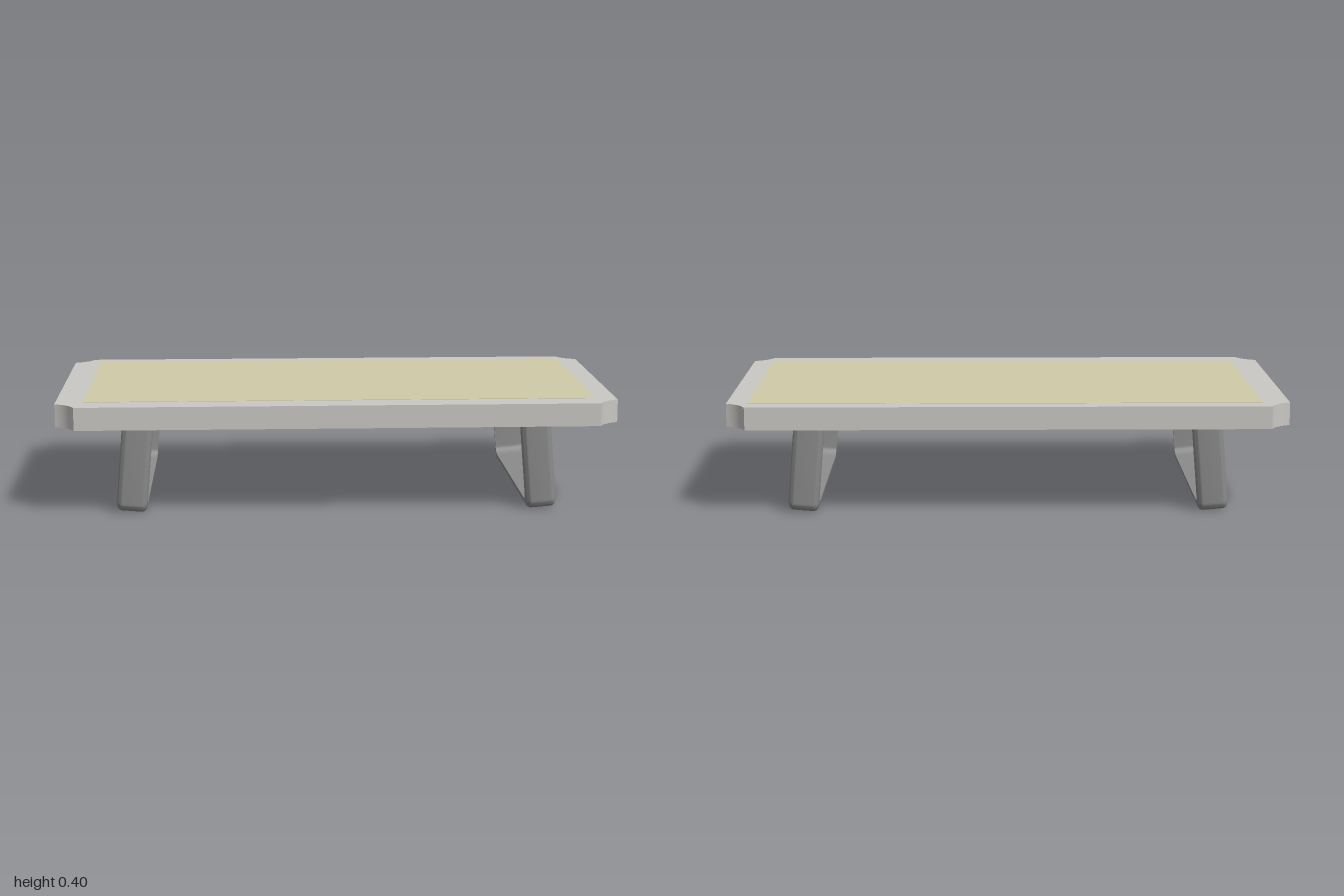
import * as THREE from 'three';
import { toCreasedNormals } from 'three/addons/utils/BufferGeometryUtils.js';

const frameGrey = new THREE.MeshStandardMaterial({ name: 'frameGrey', color: 0xcac8c4 });
const inlayCream = new THREE.MeshStandardMaterial({ name: 'inlayCream', color: 0xd0cba8 });
const legSteel = new THREE.MeshStandardMaterial({ name: 'legSteel', color: 0x8c8c8c });

const BOTTOM = 0.32, TOP = 0.402;

function add(parent, name, geometry, material) {
  const mesh = new THREE.Mesh(geometry, material);
  mesh.name = name;
  parent.add(mesh);
  return mesh;
}

// Slab outline with a shallow concave scoop at each corner
function slabGeometry() {
  const s = new THREE.Shape();
  s.moveTo(-0.928, -0.512);
  s.lineTo(0.928, -0.512);
  s.quadraticCurveTo(0.947, -0.46, 1, -0.442);
  s.lineTo(1, 0.442);
  s.quadraticCurveTo(0.947, 0.46, 0.928, 0.512);
  s.lineTo(-0.928, 0.512);
  s.quadraticCurveTo(-0.947, 0.46, -1, 0.442);
  s.lineTo(-1, -0.442);
  s.quadraticCurveTo(-0.947, -0.46, -0.928, -0.512);
  const g = new THREE.ExtrudeGeometry(s, { depth: TOP - BOTTOM, bevelEnabled: false, curveSegments: 10 });
  g.rotateX(-Math.PI / 2).translate(0, BOTTOM, 0);
  return toCreasedNormals(g, 0.4);
}

// U-shaped leg: a flat bar with rounded outer edges, swept down, across and up
function legGeometry() {
  const half = 0.055, thick = 0.03, r = 0.02, steps = 8;

  // Bar section as [across, fraction from inner to outer face]
  const section = [[-half, 0]];
  for (const side of [-1, 1]) {
    for (let i = 0; i <= 6; i++) {
      const a = (side < 0 ? i : 6 - i) / 6 * Math.PI / 2;
      section.push([side * (half - r + r * Math.cos(a)), (thick - r + r * Math.sin(a)) / thick]);
    }
  }
  section.push([half, 0]);

  // Path as pairs of inner and outer points [z, y]
  const path = [[[0.4, 0.332], [0.43, 0.332]]];
  for (let i = 0; i <= steps; i++) {
    const a = i / steps * Math.PI / 2, c = Math.cos(a) * 0.03, d = Math.sin(a) * 0.03;
    path.push([[0.37 + c, 0.06 - d], [0.4 + c, 0.03 - d]]);
  }
  for (let i = path.length - 1; i >= 0; i--) {
    path.push(path[i].map(([z, y]) => [-z, y]));
  }

  const positions = [], index = [], n = section.length;
  for (const [inner, outer] of path) {
    for (const [x, t] of section) {
      positions.push(x, THREE.MathUtils.lerp(inner[1], outer[1], t), THREE.MathUtils.lerp(inner[0], outer[0], t));
    }
  }
  for (let j = 0; j < path.length - 1; j++) {
    for (let i = 0; i < n; i++) {
      const a = j * n + i, b = j * n + (i + 1) % n;
      index.push(a, a + n, b, b, a + n, b + n);
    }
  }
  const g = new THREE.BufferGeometry();
  g.setAttribute('position', new THREE.Float32BufferAttribute(positions, 3));
  g.setIndex(index);

  // Make sure the faces point outward, using the signed volume
  const p = new THREE.Vector3(), q = new THREE.Vector3(), s = new THREE.Vector3();
  const pos = g.attributes.position;
  let volume = 0;
  for (let i = 0; i < index.length; i += 3) {
    p.fromBufferAttribute(pos, index[i]);
    q.fromBufferAttribute(pos, index[i + 1]);
    s.fromBufferAttribute(pos, index[i + 2]);
    p.y -= 0.332; q.y -= 0.332; s.y -= 0.332;
    volume += p.dot(q.cross(s));
  }
  if (volume < 0) g.setIndex(index.reverse());
  return toCreasedNormals(g, 0.6);
}

export function createModel() {
  const model = new THREE.Group();
  model.name = 'lowTable';

  add(model, 'tabletop', slabGeometry(), frameGrey);

  // Thin inlays on the upper and lower faces
  for (const [name, y] of [['topInlay', TOP], ['undersideInlay', BOTTOM]]) {
    const inlay = add(model, name, new THREE.BoxGeometry(1.825, 0.003, 0.86), inlayCream);
    inlay.position.set(0.012, y, -0.018);
  }

  // Legs splay outward toward the floor
  const leg = legGeometry();
  for (const [name, side] of [['leftLeg', 1], ['rightLeg', -1]]) {
    const mesh = add(model, name, leg, legSteel);
    mesh.position.set(side * 0.738, 0.003, 0);
    mesh.rotation.z = side * 0.085;
  }
  return model;
}
